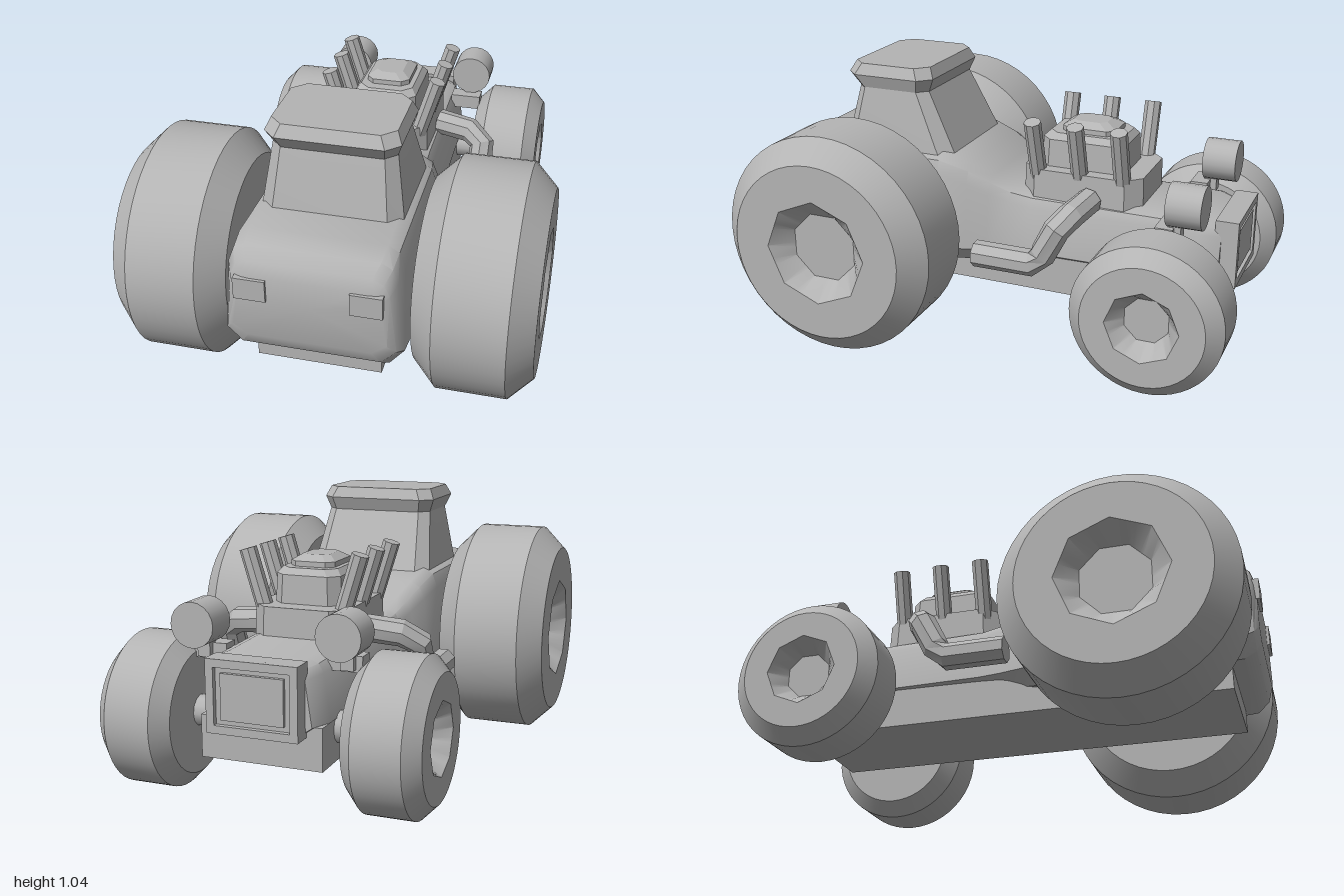
import * as THREE from 'three';
import { toCreasedNormals } from 'three/addons/utils/BufferGeometryUtils.js';

const grey = new THREE.MeshStandardMaterial({ color: 0xb4b4b4 });
grey.name = 'plain grey';

// Skin a list of closed cross-sections, cap both ends, and make it face outwards.
function loft(rings, crease = 0.6) {
  const tris = [];
  const n = rings[0].length;
  for (let i = 0; i < rings.length - 1; i++) {
    for (let j = 0; j < n; j++) {
      const k = (j + 1) % n;
      const a = rings[i][j], b = rings[i][k], c = rings[i + 1][k], d = rings[i + 1][j];
      tris.push([a, b, c], [a, c, d]);
    }
  }
  const cap = (ring, flip) => {
    const mid = ring.reduce((m, p) => m.add(p), new THREE.Vector3()).divideScalar(n);
    for (let j = 0; j < n; j++) {
      const a = ring[j], b = ring[(j + 1) % n];
      tris.push(flip ? [mid, b, a] : [mid, a, b]);
    }
  };
  cap(rings[0], true);
  cap(rings[rings.length - 1], false);
  const cross = new THREE.Vector3();
  const volume = tris.reduce((v, [a, b, c]) => v + a.dot(cross.crossVectors(b, c)), 0);
  if (volume < 0) tris.forEach((t) => t.reverse());
  const geometry = new THREE.BufferGeometry().setFromPoints(tris.flat());
  return toCreasedNormals(geometry, crease);
}

// Horizontal rectangle with cut corners.
function cutRect(y, hw, z0, z1, c) {
  return [[hw, z0 + c], [hw, z1 - c], [hw - c, z1], [c - hw, z1],
    [-hw, z1 - c], [-hw, z0 + c], [c - hw, z0], [hw - c, z0]]
    .map(([x, z]) => new THREE.Vector3(x, y, z));
}

// Tyre with chamfered shoulders and an eight-sided hub recess.
function wheelGeometry(s, x0, x1, r, rim, chamfer, hub, hubIn, y, z) {
  const ring = (x, radius, phase) => Array.from({ length: 48 }, (_, i) => {
    const a = (i / 48) * Math.PI * 2;
    const step = Math.PI / 4;
    const local = phase === undefined ? 0 : (a + phase + step) % step - step / 2;
    const q = phase === undefined ? radius : radius * Math.cos(step / 2) / Math.cos(local);
    return new THREE.Vector3(s * x, y + q * Math.cos(a), z + q * Math.sin(a));
  });
  return loft([ring(x0, rim), ring(x0 + chamfer, r), ring(x1 - chamfer, r),
    ring(x1, rim), ring(x1, hub, 0), ring(x1 - 0.07, hubIn, Math.PI / 8)], 0.4);
}

// Eight-sided pipe following straight segments.
function pipeGeometry(points, radius) {
  const ref = new THREE.Vector3(1, 1, 0);
  return loft(points.map((p, i) => {
    const t = points[Math.min(i + 1, points.length - 1)].clone()
      .sub(points[Math.max(i - 1, 0)]).normalize();
    const u = t.clone().cross(ref).normalize();
    const v = t.clone().cross(u);
    return Array.from({ length: 8 }, (_, k) => {
      const a = (k + 0.5) * Math.PI / 4;
      return p.clone().addScaledVector(u, radius * Math.cos(a)).addScaledVector(v, radius * Math.sin(a));
    });
  }), 0.3);
}

export function createModel() {
  const model = new THREE.Group();
  model.name = 'hotRodTractor';
  const add = (name, geometry, x = 0, y = 0, z = 0) => {
    const mesh = new THREE.Mesh(geometry, grey);
    mesh.name = name;
    mesh.position.set(x, y, z);
    model.add(mesh);
    return mesh;
  };
  const box = (name, w, h, d, x, y, z) => add(name, new THREE.BoxGeometry(w, h, d), x, y, z);

  // Body: z, half width, bottom, top
  const sections = [
    [0.985, 0.28, 0.36, 0.61], [0.965, 0.31, 0.31, 0.66], [0.92, 0.33, 0.275, 0.70],
    [0.84, 0.335, 0.27, 0.72], [0.25, 0.33, 0.27, 0.72], [0.13, 0.31, 0.275, 0.68],
    [0.05, 0.28, 0.29, 0.63], [-0.03, 0.258, 0.30, 0.59], [-0.12, 0.25, 0.30, 0.575],
    [-0.8, 0.238, 0.30, 0.565], [-0.88, 0.20, 0.30, 0.55],
  ];
  add('body', loft(sections.map(([z, w, b, t]) => {
    const k = (t - b) / 0.45;
    const half = [[w - 0.055, b], [w, b + 0.07 * k], [w - 0.025, t - 0.08 * k],
      [w - 0.045, t - 0.025 * k], [w - 0.085, t]];
    const left = half.map(([x, y]) => new THREE.Vector3(x, y, z));
    const right = half.map(([x, y]) => new THREE.Vector3(-x, y, z)).reverse();
    return [...left, ...right];
  }), 0.65));

  // Chassis and axles
  box('chassis', 0.47, 0.16, 1.74, 0, 0.26, 0.0);
  add('largeAxle', new THREE.CylinderGeometry(0.085, 0.085, 0.8, 12).rotateZ(Math.PI / 2), 0, 0.44, 0.535);
  add('smallAxle', new THREE.CylinderGeometry(0.06, 0.06, 0.75, 12).rotateZ(Math.PI / 2), 0, 0.3, -0.706);

  // Cab with overhanging roof
  add('cab', loft([
    cutRect(0.68, 0.268, 0.2, 0.71, 0.05), cutRect(0.73, 0.262, 0.225, 0.7, 0.05),
    cutRect(0.95, 0.23, 0.335, 0.645, 0.04),
  ], 0.3));
  add('roof', loft([
    cutRect(0.94, 0.228, 0.336, 0.645, 0.04), cutRect(1.0, 0.25, 0.31, 0.69, 0.05),
    cutRect(1.045, 0.23, 0.33, 0.665, 0.05),
  ], 0.3));

  // Engine block, blower and scoop
  add('engineBlock', loft([
    cutRect(0.5, 0.195, -0.56, -0.06, 0.06), cutRect(0.68, 0.19, -0.555, -0.065, 0.06),
  ], 0.3));
  add('blower', loft([
    cutRect(0.67, 0.135, -0.475, -0.12, 0.04), cutRect(0.79, 0.13, -0.47, -0.125, 0.04),
    cutRect(0.815, 0.11, -0.45, -0.15, 0.04),
  ], 0.3));
  add('scoop', loft([
    cutRect(0.81, 0.09, -0.415, -0.195, 0.03), cutRect(0.835, 0.09, -0.415, -0.195, 0.03),
    cutRect(0.857, 0.055, -0.37, -0.23, 0.025),
  ], 0.3));

  // Radiator
  box('radiatorFrame', 0.35, 0.27, 0.07, 0, 0.435, -0.89);
  for (const s of [-1, 1]) box('radiatorSide', 0.03, 0.27, 0.025, s * 0.16, 0.435, -0.932);
  for (const y of [0.315, 0.555]) box('radiatorRail', 0.3, 0.03, 0.025, 0, y, -0.932);
  box('grille', 0.24, 0.17, 0.02, 0, 0.435, -0.93);

  // Mirrored parts
  for (const s of [-1, 1]) {
    add('largeWheel', wheelGeometry(s, 0.34, 0.777, 0.44, 0.352, 0.088, 0.21, 0.14, 0.44, 0.535));
    add('smallWheel', wheelGeometry(s, 0.325, 0.615, 0.293, 0.235, 0.055, 0.14, 0.09, 0.297, -0.706));

    for (const z of [-0.13, -0.305, -0.48]) {
      add('exhaustStack', pipeGeometry([
        new THREE.Vector3(s * 0.15, 0.63, z), new THREE.Vector3(s * 0.228, 0.885, z),
      ], 0.034));
    }

    const path = [[0.2, 0.585, -0.36], [0.34, 0.57, -0.335], [0.4, 0.53, -0.3],
      [0.4, 0.42, -0.245], [0.4, 0.375, -0.2], [0.4, 0.375, 0.04]];
    const pipe = add('sidePipe', pipeGeometry(path.map((p) => new THREE.Vector3(...p)), 0.053));
    if (s < 0) {
      pipe.geometry.dispose();
      pipe.geometry = loft(mirrorPipe(path), 0.3);
    }

    add('lamp', new THREE.CylinderGeometry(0.085, 0.085, 0.135, 20).rotateX(Math.PI / 2), s * 0.28, 0.655, -0.772);
    box('lampBracket', 0.13, 0.06, 0.07, s * 0.265, 0.54, -0.695);
    box('lampPost', 0.05, 0.1, 0.05, s * 0.28, 0.57, -0.73);
    box('bodyLight', 0.117, 0.085, 0.05, s * 0.209, 0.562, 0.972);
  }
  return model;
}

// Rings of the side pipe reflected across the centre plane.
function mirrorPipe(path) {
  const ring = pipeRings(path.map((p) => new THREE.Vector3(...p)), 0.053);
  return ring.map((r) => r.map((p) => new THREE.Vector3(-p.x, p.y, p.z)));
}

function pipeRings(points, radius) {
  const ref = new THREE.Vector3(1, 1, 0);
  return points.map((p, i) => {
    const t = points[Math.min(i + 1, points.length - 1)].clone()
      .sub(points[Math.max(i - 1, 0)]).normalize();
    const u = t.clone().cross(ref).normalize();
    const v = t.clone().cross(u);
    return Array.from({ length: 8 }, (_, k) => {
      const a = (k + 0.5) * Math.PI / 4;
      return p.clone().addScaledVector(u, radius * Math.cos(a)).addScaledVector(v, radius * Math.sin(a));
    });
  });
}
